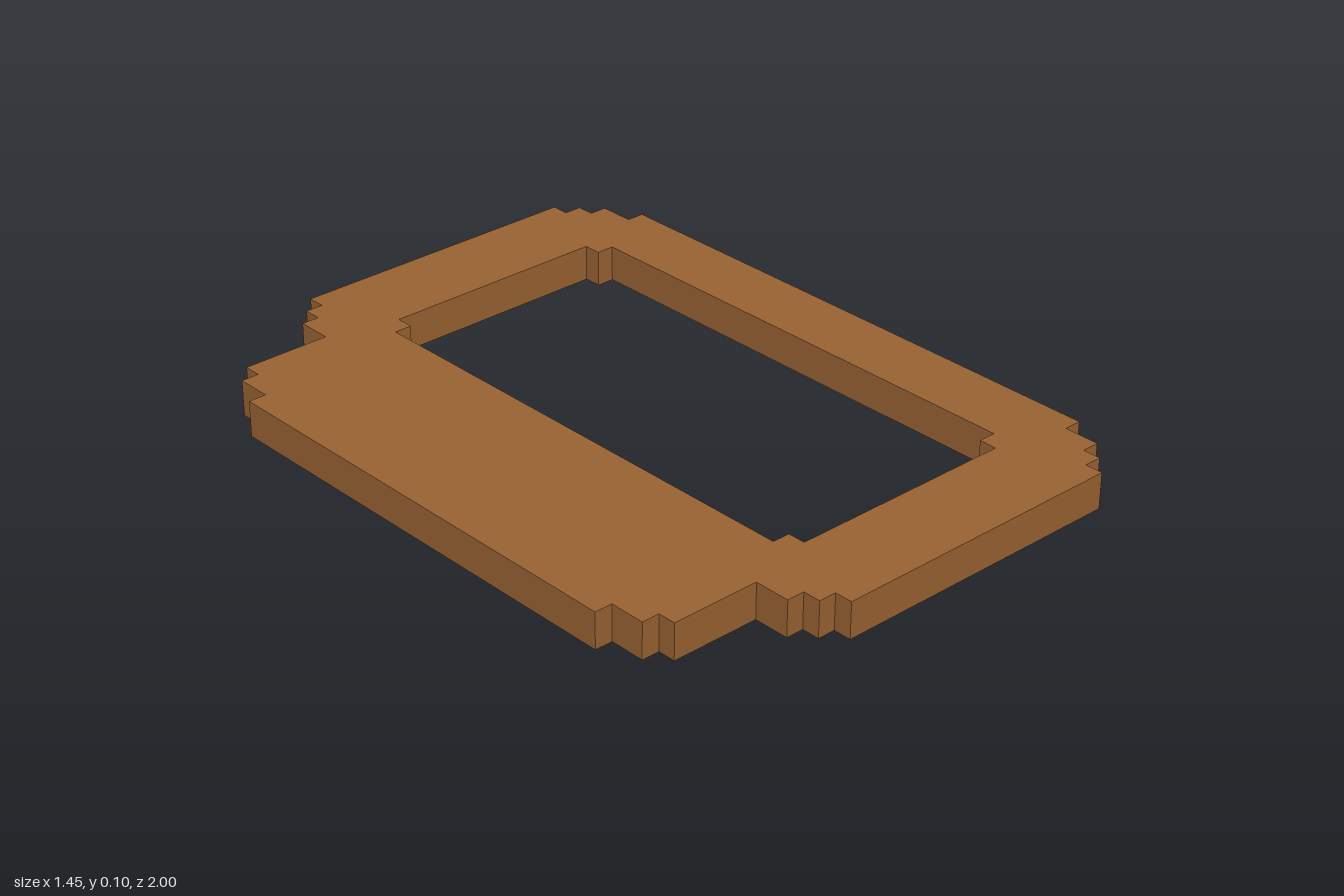
import * as THREE from 'three';

const THICKNESS = 0.1;

// Builds a stepped closed outline, mirrored front to back, from [x, z] steps
// running left to right: each step holds its z until the next x.
function steppedOutline(steps, endX) {
  const half = [];
  steps.forEach(([x, z], i) => {
    const nextX = i + 1 < steps.length ? steps[i + 1][0] : endX;
    half.push(new THREE.Vector2(x, z), new THREE.Vector2(nextX, z));
  });
  const mirrored = half.map((p) => new THREE.Vector2(p.x, -p.y)).reverse();
  return [...half, ...mirrored];
}

export function createModel() {
  const group = new THREE.Group();
  group.name = 'steppedFrame';

  const brown = new THREE.MeshStandardMaterial({ color: 0x996333 });
  brown.name = 'brown';

  // Outer outline: wide side panel on the left, rounded frame on the right
  const shape = new THREE.Shape(steppedOutline([
    [-0.725, 0.65], [-0.675, 0.75], [-0.625, 0.8],
    [-0.375, 0.9], [-0.325, 0.95], [-0.275, 1],
    [0.575, 0.95], [0.625, 0.9], [0.675, 0.8],
  ], 0.725));

  // Opening with notched corners, wound opposite to the outline so its walls face inward
  shape.holes.push(new THREE.Path(steppedOutline([
    [-0.225, 0.7], [-0.175, 0.75], [0.475, 0.7],
  ], 0.525).reverse()));

  // Flat slab lying on the ground
  const geometry = new THREE.ExtrudeGeometry(shape, { depth: THICKNESS, bevelEnabled: false });
  geometry.rotateX(Math.PI / 2);
  geometry.translate(0, THICKNESS, 0);

  const frame = new THREE.Mesh(geometry, brown);
  frame.name = 'frame';
  group.add(frame);
  return group;
}
